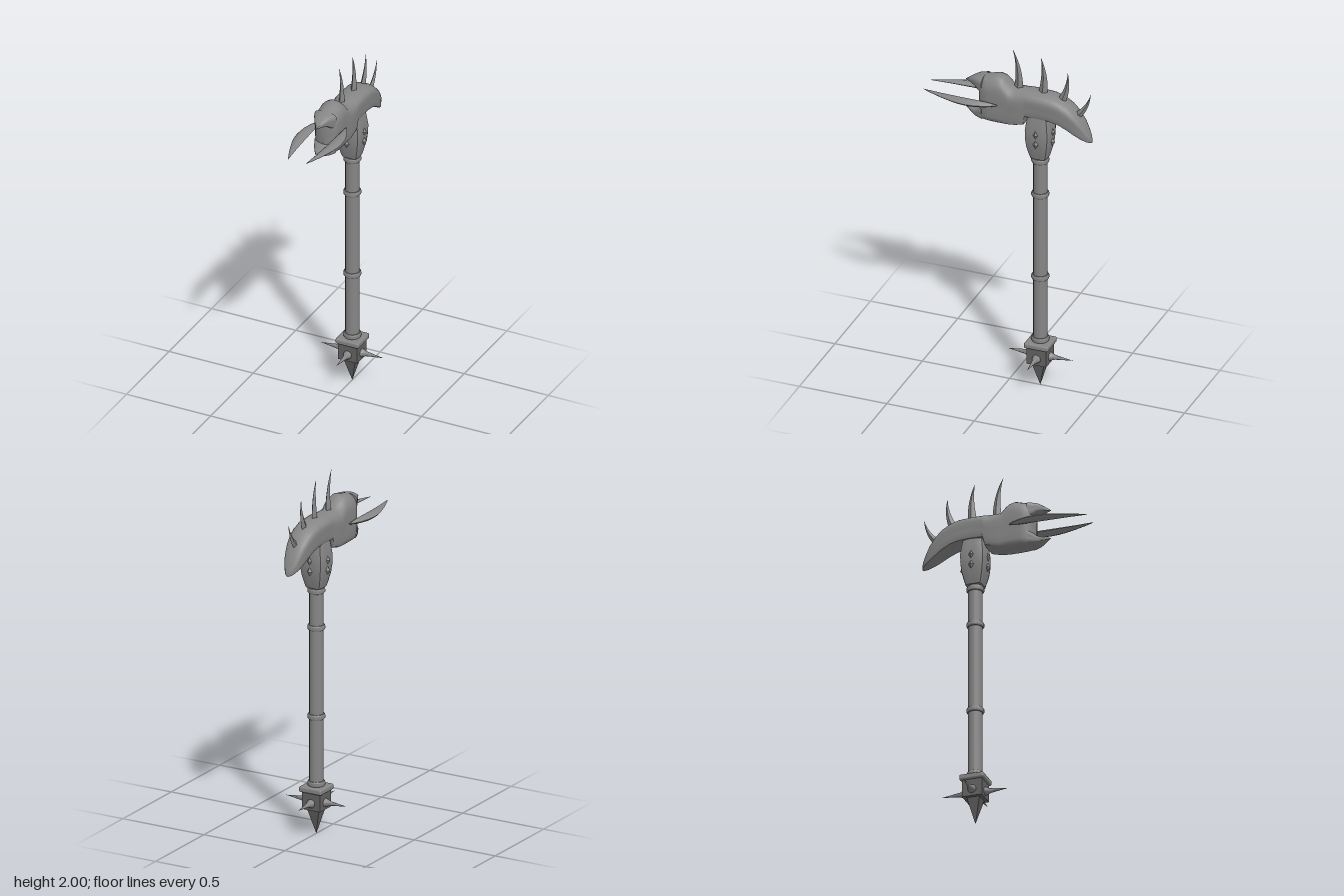
import * as THREE from 'three';
import { mergeVertices, toCreasedNormals } from 'three/addons/utils/BufferGeometryUtils.js';
import { RoundedBoxGeometry } from 'three/addons/geometries/RoundedBoxGeometry.js';

const AXIS_Z = -0.175;
const steel = new THREE.MeshStandardMaterial({ color: 0x868686 });
const darkSteel = new THREE.MeshStandardMaterial({ color: 0x626262 });

// Skin a list of equal-length point rings and close both ends
function loft(rings, crease = 0.8) {
  const n = rings[0].length;
  const pos = rings.flat().flatMap((p) => [p.x, p.y, p.z]);
  const index = [];
  for (let r = 0; r < rings.length - 1; r++) {
    for (let i = 0; i < n; i++) {
      const a = r * n + i, b = r * n + (i + 1) % n;
      index.push(a, b, a + n, b, b + n, a + n);
    }
  }
  [0, rings.length - 1].forEach((r, end) => {
    const c = rings[r].reduce((s, p) => s.add(p), new THREE.Vector3()).divideScalar(n);
    const ci = pos.length / 3;
    pos.push(c.x, c.y, c.z);
    for (let i = 0; i < n; i++) {
      const a = r * n + i, b = r * n + (i + 1) % n;
      if (end) index.push(a, b, ci); else index.push(b, a, ci);
    }
  });
  // Make the faces point outward whatever the ring direction
  const v = (i) => new THREE.Vector3().fromArray(pos, i * 3);
  let volume = 0;
  for (let i = 0; i < index.length; i += 3) {
    volume += v(index[i]).dot(v(index[i + 1]).cross(v(index[i + 2])));
  }
  if (volume < 0) index.reverse();
  const g = new THREE.BufferGeometry();
  g.setAttribute('position', new THREE.Float32BufferAttribute(pos, 3));
  g.setIndex(index);
  return toCreasedNormals(mergeVertices(g, 1e-5), crease);
}

// Head cross-section: rounded crown, slightly tucked sides, flat underside
const HALF = [[0, 1], [0.3, 0.99], [0.58, 0.95], [0.82, 0.88], [0.96, 0.79], [1, 0.68],
  [0.97, 0.5], [0.94, 0.3], [0.93, 0.12], [0.86, 0.03], [0.7, 0], [0, 0]];
const SECTION = [...HALF, ...HALF.slice(1, -1).reverse().map(([x, y]) => [-x, y])];

// Stations: [z, bottom, top, half width]
const headLoft = (stations) => loft(stations.map(([z, lo, hi, w]) =>
  SECTION.map(([x, y]) => new THREE.Vector3(x * w, lo + y * (hi - lo), z))));

export function createModel() {
  const model = new THREE.Group();
  const add = (name, geometry, x = 0, y = 0, z = 0, parent = model, material = steel) => {
    const m = new THREE.Mesh(geometry, material);
    m.name = name;
    m.position.set(x, y, z);
    parent.add(m);
    return m;
  };
  const lathe = (pts, segments = 16) => toCreasedNormals(
    new THREE.LatheGeometry(pts.map(([r, y]) => new THREE.Vector2(r, y)), segments), 0.7);

  // Shaft with raised rings
  add('shaft', new THREE.CylinderGeometry(0.038, 0.038, 1.16, 16), 0, 0.84, AXIS_Z);
  const ring = lathe([[0.03, -0.014], [0.043, -0.014], [0.048, -0.007], [0.048, 0.007], [0.043, 0.014], [0.03, 0.014]]);
  for (const y of [0.285, 0.661, 1.161, 1.368]) add('shaftRing', ring, 0, y, AXIS_Z);

  // Spiked pommel
  const pommel = new THREE.Group();
  pommel.name = 'pommel';
  pommel.position.z = AXIS_Z;
  model.add(pommel);
  add('pommelPlate', new RoundedBoxGeometry(0.138, 0.032, 0.138, 2, 0.01), 0, 0.256, 0, pommel);
  add('pommelBlock', new THREE.BoxGeometry(0.112, 0.1, 0.112), 0, 0.194, 0, pommel, darkSteel);
  const point = new THREE.ConeGeometry(0.037 * Math.SQRT2, 0.146, 4, 1).rotateY(Math.PI / 4);
  point.rotateX(Math.PI);
  add('pommelPoint', toCreasedNormals(point, 0.3), 0, 0.073, 0, pommel, darkSteel);
  const spike = lathe([[0.026, 0.05], [0.021, 0.066], [0.013, 0.085], [0.007, 0.13], [0, 0.188]], 12).rotateZ(-Math.PI / 2);

  // Collar under the head
  const collar = new THREE.Group();
  collar.name = 'collar';
  collar.position.z = AXIS_Z;
  model.add(collar);
  const levels = [[1.388, 0.045], [1.405, 0.05], [1.46, 0.064], [1.51, 0.07], [1.56, 0.071], [1.61, 0.064], [1.65, 0.058]];
  add('collarBody', loft(levels.map(([y, r]) => Array.from({ length: 24 }, (_, i) => {
    const a = (i / 24) * Math.PI * 2, c = Math.cos(a), s = Math.sin(a);
    const k = r / Math.pow(c ** 6 + s ** 6, 1 / 6);
    return new THREE.Vector3(k * c, y, k * s);
  }))), 0, 0, 0, collar);
  const stud = new THREE.OctahedronGeometry(1).scale(0.016, 0.025, 0.017);

  // Spikes and studs on all four sides
  for (let i = 0; i < 4; i++) {
    const a = i * Math.PI / 2;
    add('pommelSpike', spike, 0, 0.183, 0, pommel).rotation.y = a;
    for (const y of [1.49, 1.548]) {
      add('collarStud', stud, Math.sin(a) * 0.069, y, Math.cos(a) * 0.069, collar).rotation.y = a;
    }
  }

  // Beast-shaped head: hooked tail, back, brow and rounded mouth interior
  add('head', headLoft([
    [-0.472, 1.53, 1.545, 0.006], [-0.462, 1.534, 1.57, 0.022], [-0.445, 1.543, 1.605, 0.036],
    [-0.42, 1.557, 1.655, 0.048], [-0.385, 1.578, 1.702, 0.058], [-0.345, 1.604, 1.738, 0.065],
    [-0.3, 1.626, 1.763, 0.069], [-0.25, 1.638, 1.778, 0.072], [-0.18, 1.642, 1.783, 0.073],
    [-0.115, 1.64, 1.783, 0.073], [-0.1, 1.59, 1.783, 0.073], [-0.05, 1.576, 1.783, 0.073],
    [-0.016, 1.572, 1.785, 0.072], [0.01, 1.57, 1.815, 0.071], [0.03, 1.57, 1.832, 0.071],
    [0.06, 1.57, 1.84, 0.071], [0.1, 1.571, 1.829, 0.07], [0.137, 1.573, 1.82, 0.066],
    [0.152, 1.6, 1.79, 0.054], [0.162, 1.61, 1.77, 0.036], [0.168, 1.62, 1.76, 0.012],
  ]));
  // Open beak
  add('upperBeak', headLoft([[0.137, 1.725, 1.82, 0.066], [0.165, 1.742, 1.815, 0.054],
    [0.185, 1.757, 1.81, 0.044], [0.21, 1.764, 1.796, 0.029], [0.232, 1.765, 1.782, 0.013], [0.25, 1.766, 1.769, 0.001]]));
  add('lowerBeak', headLoft([[0.137, 1.573, 1.655, 0.066], [0.165, 1.576, 1.636, 0.054],
    [0.185, 1.579, 1.618, 0.044], [0.21, 1.588, 1.611, 0.029], [0.232, 1.597, 1.609, 0.013], [0.25, 1.604, 1.607, 0.001]]));

  // Curved tusks on both sides: [z, inner x, outer x, half height]
  const tuskStations = [[0.043, 0.072, 0.078, 0.003], [0.07, 0.07, 0.094, 0.009], [0.1, 0.068, 0.109, 0.014],
    [0.157, 0.067, 0.126, 0.018], [0.21, 0.066, 0.131, 0.018], [0.25, 0.065, 0.128, 0.017], [0.287, 0.063, 0.121, 0.015],
    [0.36, 0.06, 0.099, 0.01], [0.43, 0.055, 0.073, 0.005], [0.472, 0.052, 0.054, 0.001]];
  for (const side of [-1, 1]) {
    add(side > 0 ? 'leftTusk' : 'rightTusk', loft(tuskStations.map(([z, a, b, h]) =>
      [[0, 0], [0.25, 0.75], [0.55, 1], [0.85, 0.6], [1, 0], [0.85, -0.6], [0.55, -1], [0.25, -0.75]]
        .map(([u, v]) => new THREE.Vector3(side * (a + (b - a) * u), 1.686 + v * h, z)))));
  }

  // Curved diamond-section horns along the back: thickness, then base, middle and tip as [z, y]
  const horns = [
    [1, [-0.05, 1.765], [-0.064, 1.89], [-0.018, 2.0]],
    [1, [-0.19, 1.765], [-0.208, 1.89], [-0.178, 1.985]],
    [0.9, [-0.295, 1.745], [-0.34, 1.83], [-0.332, 1.922]],
    [0.75, [-0.388, 1.68], [-0.445, 1.73], [-0.464, 1.818]],
  ];
  for (const [size, ...pts] of horns) {
    const curve = new THREE.QuadraticBezierCurve3(...pts.map(([z, y]) => new THREE.Vector3(0, y, z)));
    const rings = Array.from({ length: 9 }, (_, i) => {
      const t = i / 8, p = curve.getPoint(t), d = curve.getTangent(t);
      const n = new THREE.Vector3(0, -d.z, d.y), k = size * Math.max(0.02, 1 - t ** 1.2);
      return [[1, 0], [0, 1], [-1, 0], [0, -1]].map(([u, v]) =>
        p.clone().addScaledVector(n, v * 0.026 * k).add(new THREE.Vector3(u * 0.017 * k, 0, 0)));
    });
    add('backHorn', loft(rings, 0.6));
  }
  return model;
}
